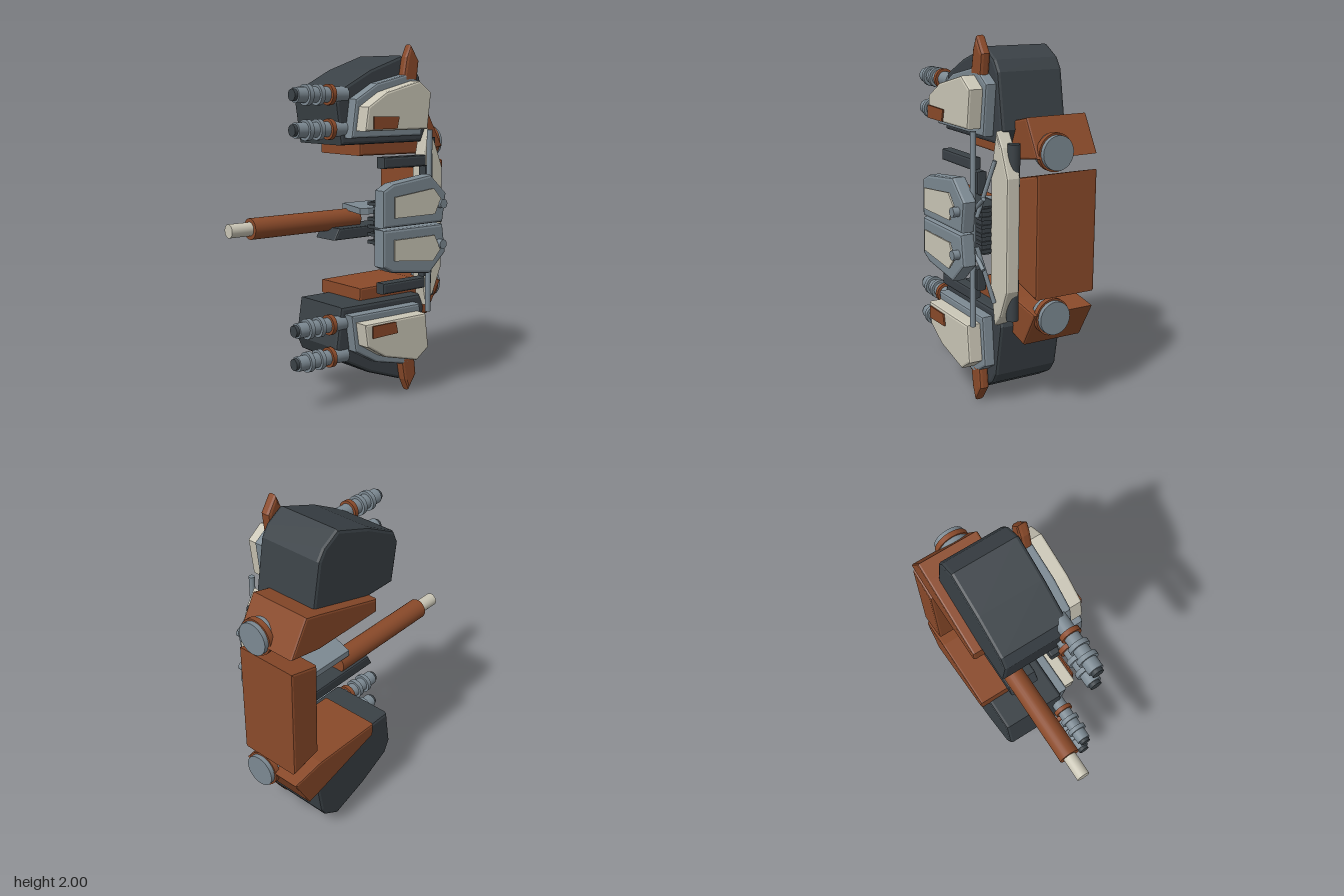
import * as THREE from 'three';

const mat = (name, color) => Object.assign(new THREE.MeshStandardMaterial({ color }), { name });

export function createModel() {
  const rust = mat('rust', 0x8a4a2a);
  const dark = mat('charcoal', 0x3a4146);
  const steel = mat('steel', 0x7c8992);
  const cream = mat('cream', 0xcbc7b7);

  const model = new THREE.Group();
  model.name = 'twinPodCraft';
  let parent = model;
  let side = 1; // 1 = upper half, -1 = lower half (mirrored about y = 1)
  const my = (y) => 1 + side * (y - 1);

  const add = (name, geo, material) => {
    const m = new THREE.Mesh(geo, material);
    m.name = name;
    parent.add(m);
    return m;
  };

  // Outline in x/y, extruded from z0 to z1 with an inset bevel
  const plate = (name, pts, z0, z1, bevel, material) => {
    const shape = new THREE.Shape(pts.map(([x, y]) => new THREE.Vector2(x, my(y))));
    const geo = new THREE.ExtrudeGeometry(shape, {
      depth: z1 - z0 - 2 * bevel, bevelEnabled: bevel > 0, bevelThickness: bevel,
      bevelSize: bevel, bevelOffset: -bevel, bevelSegments: 2,
    });
    geo.translate(0, 0, z0 + bevel);
    return add(name, geo, material);
  };
  const block = (name, x0, x1, y0, y1, z0, z1, bevel, material) =>
    plate(name, [[x0, y0], [x1, y0], [x1, y1], [x0, y1]], z0, z1, bevel, material);

  // Cylinder between two points
  const rod = (name, a, b, r0, r1, material, sides = 20) => {
    const p = new THREE.Vector3(a[0], my(a[1]), a[2]);
    const q = new THREE.Vector3(b[0], my(b[1]), b[2]);
    const d = q.clone().sub(p);
    const m = add(name, new THREE.CylinderGeometry(r1, r0, d.length(), sides), material);
    m.position.copy(p).add(q).multiplyScalar(0.5);
    m.quaternion.setFromUnitVectors(new THREE.Vector3(0, 1, 0), d.normalize());
    return m;
  };
  const rodX = (name, x0, x1, y, z, r, material, r1 = r) =>
    rod(name, [x0, y, z], [x1, y, z], r, r1, material, 24);

  for (side of [1, -1]) {
    const label = side > 0 ? 'upper' : 'lower';
    parent = new THREE.Group();
    parent.name = label + 'Assembly';
    model.add(parent);

    // Layered pod: hull, collar, armour and marker
    plate('podHull', [[-0.145, 1.45], [0.445, 1.45], [0.48, 1.53], [0.43, 1.82], [0.39, 1.88],
      [0.29, 1.94], [0.06, 1.86], [-0.145, 1.755], [-0.18, 1.68]], -0.29, 0.1, 0.018, dark);
    plate('podCollar', [[-0.12, 1.49], [0.39, 1.49], [0.42, 1.76], [0.30, 1.84], [0.06, 1.785],
      [-0.09, 1.70]], 0.08, 0.16, 0.012, steel);
    plate('podArmour', [[-0.09, 1.53], [0.365, 1.53], [0.39, 1.735], [0.30, 1.798], [0.06, 1.738],
      [-0.07, 1.66]], 0.15, 0.24, 0.012, cream);
    plate('podMarker', [[-0.045, 1.54], [0.12, 1.54], [0.135, 1.605], [-0.045, 1.61]],
      0.25, 0.259, 0, rust);
    plate('podFin', [[0.25, 1.79], [0.355, 1.79], [0.37, 1.91], [0.308, 2.0], [0.275, 1.93]],
      0.1, 0.16, 0.018, rust);

    // Twin barrels
    for (const y of [1.725, 1.54]) {
      rodX('barrel', -0.435, -0.1, y, 0.075, 0.042, steel);
      rodX('barrelTip', -0.455, -0.43, y, 0.075, 0.032, dark);
      for (const x of [-0.36, -0.285])
        rodX('barrelRing', x - 0.013, x + 0.013, y, 0.075, 0.057, steel);
      rodX('barrelBand', -0.223, -0.197, y, 0.075, 0.057, rust);
    }

    // Arm and its joint
    plate('podArm', [[0.05, 1.38], [0.49, 1.375], [0.69, 1.41], [0.58, 1.605], [0.48, 1.58],
      [0.05, 1.46]], -0.345, 0.02, 0.012, rust);
    rodX('jointDisc', 0.62, 0.71, 1.435, -0.095, 0.09, steel);
    rodX('jointRing', 0.655, 0.685, 1.435, -0.095, 0.1, rust);
    rod('hingePin', [0.542, 1.25, 0.065], [0.542, 1.47, 0.065], 0.033, 0.033, dark);

    // Control console half
    plate('consolePanel', [[-0.02, 1.005], [0.425, 1.005], [0.45, 1.17], [0.33, 1.28],
      [0.05, 1.245], [-0.02, 1.21]], 0.225, 0.308, 0.015, steel);
    plate('consoleInset', [[0.045, 1.06], [0.34, 1.06], [0.385, 1.145], [0.33, 1.205],
      [0.045, 1.175]], 0.322, 0.331, 0, cream);
    rod('consoleKnob', [0.395, 1.115, 0.22], [0.395, 1.115, 0.345], 0.026, 0.026, steel);

    // Rails and struts behind the console
    block('sideRail', 0.055, 0.37, 1.32, 1.383, 0.155, 0.225, 0.012, dark);
    block('railEnd', 0.37, 0.43, 1.2, 1.32, 0.155, 0.215, 0.012, dark);
    rod('longStrut', [0.48, 1.38, 0.14], [0.42, 1.08, 0.21], 0.012, 0.012, steel, 12);
    rod('shortStrut', [0.4, 1.12, 0.21], [0.488, 1.19, 0.21], 0.012, 0.012, steel, 12);
  }

  side = 1;
  parent = model;

  // Spine block, front shield and the long rod
  plate('spineBlock', [[0.51, 0.72], [0.695, 0.675], [0.695, 1.33], [0.51, 1.285]],
    -0.345, 0.02, 0.014, rust);
  plate('shield', [[0.47, 1.53], [0.525, 1.45], [0.587, 1.3], [0.587, 0.7], [0.525, 0.55],
    [0.465, 0.485], [0.42, 0.7], [0.42, 1.3]], 0.05, 0.13, 0.012, cream);
  rod('verticalRod', [0.396, 0.475, 0.22], [0.396, 1.525, 0.22], 0.016, 0.016, steel);

  // Central cannon with its cradle
  rodX('cannonBarrel', -0.58, 0.15, 1.005, -0.147, 0.059, rust);
  rodX('cannonMuzzle', -0.715, -0.57, 1.005, -0.147, 0.038, cream);
  plate('cradleBase', [[-0.09, 0.905], [0.52, 0.905], [0.52, 0.97], [-0.055, 0.97]],
    -0.21, -0.03, 0.01, dark);

  // Deck slab with clipped corners
  const deck = new THREE.Shape([[0.02, -0.06], [0.1, 0.2], [0.52, 0.2], [0.52, -0.08],
    [0.06, -0.08]].map(([x, z]) => new THREE.Vector2(x, z)));
  const deckGeo = new THREE.ExtrudeGeometry(deck, { depth: 0.035, bevelEnabled: false });
  deckGeo.rotateX(-Math.PI / 2);
  add('deckSlab', deckGeo, steel).position.y = 1.055;

  // Ribbed core between deck and console
  block('coreBody', 0.12, 0.42, 0.87, 1.13, 0.05, 0.18, 0.01, dark);
  for (let i = 0; i < 6; i++) {
    const y = 0.88 + i * 0.044;
    block('coreRib', 0.1, 0.43, y, y + 0.02, 0.025, 0.19, 0.004, dark);
  }

  return model;
}
